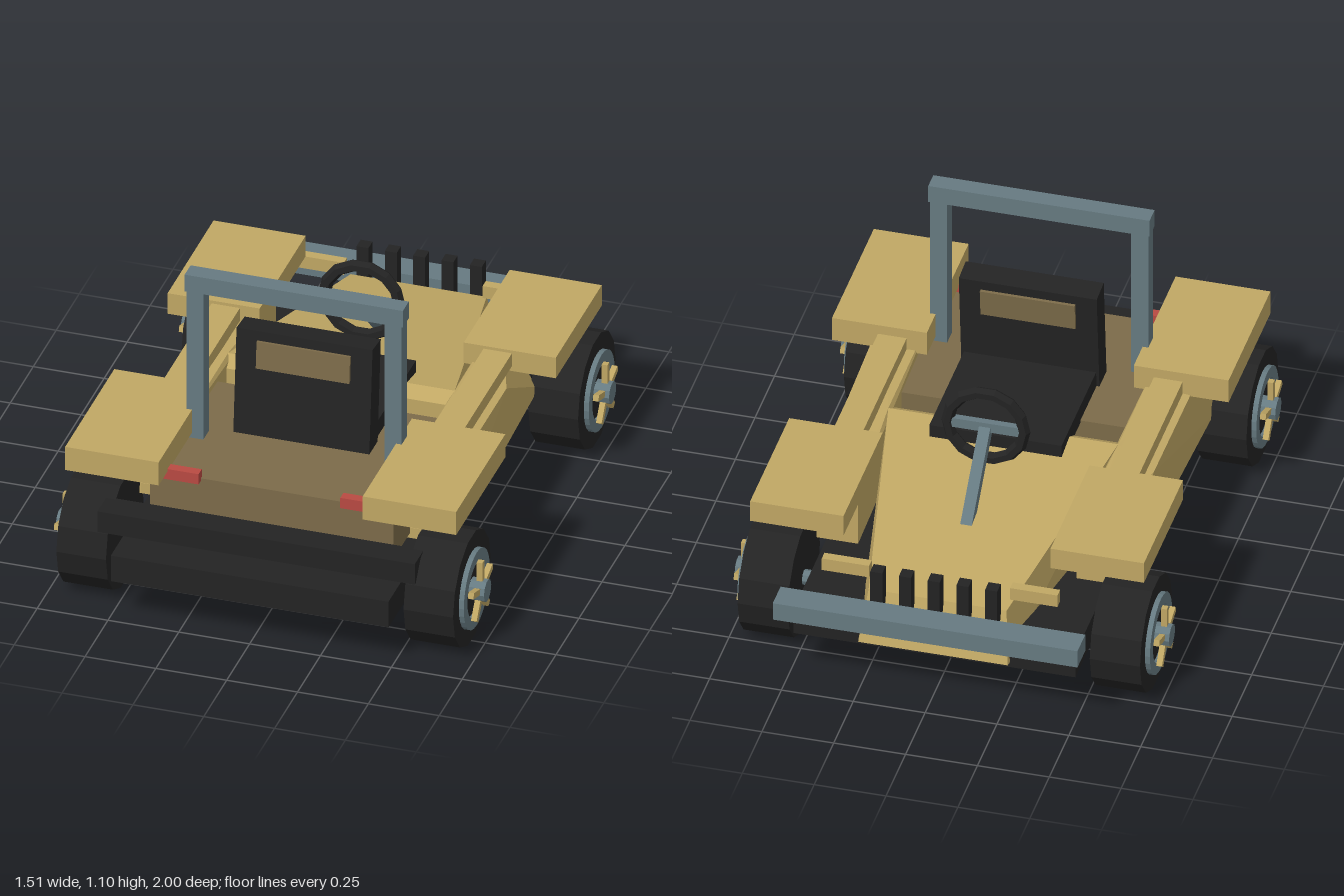
import * as THREE from 'three';
import { ConvexGeometry } from 'three/addons/geometries/ConvexGeometry.js';

function material(name, color) {
  const m = new THREE.MeshStandardMaterial({ color, flatShading: true });
  m.name = name;
  return m;
}

export function createModel() {
  const tan = material('tan paint', 0xc0a764);
  const brown = material('brown trim', 0x7c6b49);
  const black = material('black rubber', 0x232323);
  const steel = material('blue grey steel', 0x667a81);
  const red = material('red lamp', 0xb94a42);

  const model = new THREE.Group();
  model.name = 'openBuggy';

  function add(name, geometry, mat, parent = model) {
    const mesh = new THREE.Mesh(geometry, mat);
    mesh.name = name;
    parent.add(mesh);
    return mesh;
  }
  // Box given by its limits on each axis
  function box(name, mat, x0, x1, y0, y1, z0, z1) {
    const mesh = add(name, new THREE.BoxGeometry(Math.abs(x1 - x0), y1 - y0, z1 - z0), mat);
    mesh.position.set((x0 + x1) / 2, (y0 + y1) / 2, (z0 + z1) / 2);
    return mesh;
  }
  const hull = (name, mat, pts) =>
    add(name, new ConvexGeometry(pts.map(p => new THREE.Vector3(...p))), mat);

  // Chassis, floor and rear deck
  box('chassis', black, -0.49, 0.49, 0.16, 0.26, -0.88, 1);
  box('rearBumper', black, -0.56, 0.56, 0.3, 0.38, 0.83, 0.93);
  box('floorSill', tan, -0.52, 0.52, 0.26, 0.3, 0.2, 0.58);
  box('rearDeck', brown, -0.43, 0.43, 0.28, 0.47, 0.14, 0.76);

  // Wedge hood tapering to the nose
  const hood = [];
  for (const s of [-1, 1]) {
    hood.push([s * 0.4, 0.5, 0], [s * 0.42, 0.26, 0.05], [s * 0.4, 0.47, 0.05],
      [s * 0.24, 0.36, -0.84], [s * 0.26, 0.18, -0.9], [s * 0.42, 0.2, 0]);
  }
  hull('hood', tan, hood);

  for (const s of [-1, 1]) {
    const side = s > 0 ? 'left' : 'right';

    // Side body with its front corner cut back
    hull(side + 'BodySide', tan, [
      [s * 0.4, 0.26, 0.58], [s * 0.575, 0.26, 0.58],
      [s * 0.4, 0.5, 0.55], [s * 0.56, 0.5, 0.55],
      [s * 0.55, 0.48, -0.1], [s * 0.4, 0.5, 0],
      [s * 0.54, 0.26, -0.46], [s * 0.54, 0.28, -0.46],
      [s * 0.38, 0.26, -0.46], [s * 0.38, 0.47, -0.46], [s * 0.42, 0.47, -0.46],
    ]);

    // Fenders and the rail between them
    box(side + 'RearFender', tan, s * 0.36, s * 0.69, 0.49, 0.58, 0.345, 0.88);
    box(side + 'FrontFender', tan, s * 0.36, s * 0.685, 0.476, 0.556, -0.72, -0.22);
    box(side + 'SideRail', tan, s * 0.43, s * 0.53, 0.495, 0.545, -0.23, 0.35);

    // Lamps
    box(side + 'TailLamp', red, s * 0.25, s * 0.395, 0.46, 0.5, 0.75, 0.785);
    box(side + 'HeadlampBar', tan, s * 0.245, s * 0.41, 0.39, 0.437, -0.815, -0.78);

    // Roll bar post
    box(side + 'RollBarPost', steel, s * 0.32, s * 0.38, 0.46, 1.05, 0.458, 0.517);
  }
  box('rollBarTop', steel, -0.385, 0.385, 1.04, 1.105, 0.455, 0.52);

  // Front bumper and grille posts
  box('frontBumper', steel, -0.53, 0.53, 0.29, 0.357, -1, -0.9);
  for (let i = -2; i <= 2; i++) {
    box('grillePost', black, i * 0.1 - 0.021, i * 0.1 + 0.021, 0.31, 0.47, -0.89, -0.845);
  }

  // Seat with a back that leans, and a panel through it
  box('seatCushion', black, -0.23, 0.23, 0.46, 0.53, -0.1, 0.38);
  const back = new THREE.Group();
  back.name = 'seatBack';
  back.position.set(0, 0.66, 0.375);
  back.rotation.x = -0.09;
  model.add(back);
  add('backrest', new THREE.BoxGeometry(0.48, 0.39, 0.09), black, back);
  add('headrestPanel', new THREE.BoxGeometry(0.33, 0.1, 0.112), brown, back).position.y = 0.11;

  // Steering wheel and column
  const wheelCentre = new THREE.Vector3(0, 0.655, -0.222);
  add('steeringWheel', new THREE.TorusGeometry(0.133, 0.022, 6, 14), black)
    .position.copy(wheelCentre);
  box('steeringCrossbar', steel, -0.12, 0.12, 0.637, 0.673, -0.235, -0.21);
  const column = add('steeringColumn', new THREE.BoxGeometry(0.04, 0.04, 0.34), steel);
  column.position.set(0, 0.525, -0.345);
  column.rotation.x = -Math.PI / 4;

  // Wheels, built around the x axis with the outer face at +x
  const tyreGeo = new THREE.CylinderGeometry(0.205, 0.205, 0.175, 14).rotateZ(-Math.PI / 2);
  const rimShape = new THREE.Shape().absarc(0, 0, 0.142, 0, Math.PI * 2);
  rimShape.holes.push(new THREE.Path().absarc(0, 0, 0.102, 0, Math.PI * 2, true));
  const rimGeo = new THREE.ExtrudeGeometry(rimShape,
    { depth: 0.02, bevelEnabled: false, curveSegments: 14 }).rotateY(Math.PI / 2);
  const hubGeo = new THREE.CylinderGeometry(0.04, 0.04, 0.06, 10).rotateZ(-Math.PI / 2);
  const spokeGeo = new THREE.BoxGeometry(0.02, 0.09, 0.022).translate(0.118, 0.065, 0);

  for (const [place, z] of [['front', -0.62], ['rear', 0.74]]) {
    const axle = add(place + 'Axle',
      new THREE.CylinderGeometry(0.027, 0.027, 1.08, 8).rotateZ(Math.PI / 2), steel);
    axle.position.set(0, 0.207, z);
    for (const s of [-1, 1]) {
      const wheel = new THREE.Group();
      wheel.name = place + (s > 0 ? 'Left' : 'Right') + 'Wheel';
      wheel.position.set(s * 0.6125, 0.205, z);
      wheel.rotation.y = s > 0 ? 0 : Math.PI;
      model.add(wheel);
      add('tyre', tyreGeo, black, wheel);
      add('rim', rimGeo, steel, wheel).position.x = 0.085;
      add('hub', hubGeo, steel, wheel).position.x = 0.113;
      for (let i = 0; i < 5; i++) {
        add('spoke', spokeGeo, tan, wheel).rotation.x = i * Math.PI * 2 / 5;
      }
    }
  }
  return model;
}
